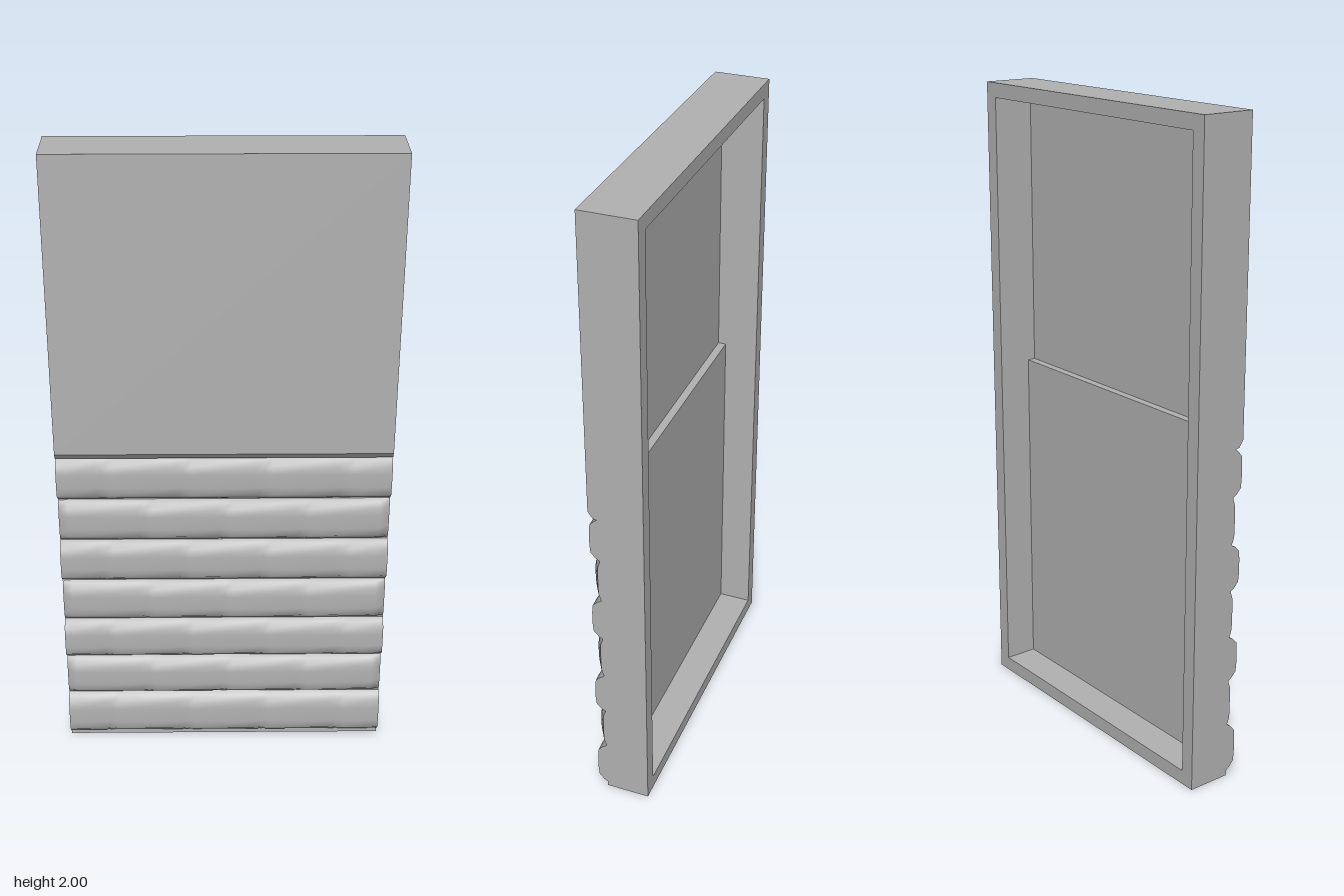
import * as THREE from 'three';

const W = 0.51, BACK = -0.085, SEAT = 0.045, FRONT = 0.084, WALL = 0.045;
const stone = new THREE.MeshStandardMaterial({ color: 0xb2b2b2 });
stone.name = 'stoneGrey';

function add(group, name, geometry) {
  const mesh = new THREE.Mesh(geometry, stone);
  mesh.name = name;
  group.add(mesh);
  return mesh;
}

// Rectangular rim, open in the middle
function rimGeometry() {
  const shape = new THREE.Shape([[-W, 0], [W, 0], [W, 2], [-W, 2]].map(p => new THREE.Vector2(...p)));
  const x = W - WALL;
  shape.holes.push(new THREE.Path([[-x, WALL], [-x, 2 - WALL], [x, 2 - WALL], [x, WALL]].map(p => new THREE.Vector2(...p))));
  const g = new THREE.ExtrudeGeometry(shape, { depth: SEAT - BACK, bevelEnabled: false });
  return g.translate(0, 0, BACK);
}

// Front skin: side profile in (z, y), swept across the width
function skinGeometry() {
  const profile = [[SEAT, 0], [0.052, 0], [0.052, 1.05], [0.07, 1.055], [FRONT, 1.075], [FRONT, 2], [SEAT, 2]];
  const shape = new THREE.Shape(profile.map(([z, y]) => new THREE.Vector2(-z, y)));
  const g = new THREE.ExtrudeGeometry(shape, { depth: 2 * W, bevelEnabled: false });
  return g.rotateY(Math.PI / 2).translate(-W, 0, 0);
}

// One course of rounded blocks, lofted along x with shallow dips at the joints
function courseGeometry(y0, y1, joints, endsTaper) {
  const base = 0.05, top = FRONT;
  const profile = [[0, 0], [0.06, 0.45], [0.17, 0.92], [0.35, 1], [0.65, 1], [0.83, 0.92], [0.94, 0.45], [1, 0]];
  const stations = [[-W, endsTaper ? 0.3 : 0.95], [-W + 0.03, endsTaper ? 0.88 : 1]];
  for (const x of joints) stations.push([x - 0.025, 1], [x, 0.91], [x + 0.025, 1]);
  stations.push([W - 0.03, stations[1][1]], [W, stations[0][1]]);

  const pos = [], idx = [], n = profile.length;
  const ring = ([x, h]) => profile.forEach(([t, d]) =>
    pos.push(x, y0 + (y1 - y0) * t, base + (top - base) * d * h));
  stations.forEach(ring);
  for (let i = 0; i < stations.length - 1; i++) {
    for (let j = 0; j < n - 1; j++) {
      const a = i * n + j, b = a + n;
      idx.push(a, b, b + 1, a, b + 1, a + 1);
    }
  }
  // End caps
  for (const right of [false, true]) {
    const s = pos.length / 3;
    ring(right ? stations[stations.length - 1] : stations[0]);
    for (let j = 1; j < n - 1; j++) idx.push(s, right ? s + j + 1 : s + j, right ? s + j : s + j + 1);
  }
  const g = new THREE.BufferGeometry();
  g.setAttribute('position', new THREE.Float32BufferAttribute(pos, 3));
  g.setIndex(idx);
  g.computeVertexNormals();
  return g;
}

export function createModel() {
  const model = new THREE.Group();
  model.name = 'wallPanel';
  add(model, 'rim', rimGeometry());
  add(model, 'frontSkin', skinGeometry());

  // Thicker backing behind the block courses
  const backing = add(model, 'lowerBacking', new THREE.BoxGeometry(2 * (W - WALL), 1.1 - WALL, 0.025));
  backing.position.set(0, (1.1 + WALL) / 2, SEAT - 0.0125);

  // Seven courses in running bond
  const edges = [0.015, 0.175, 0.32, 0.465, 0.612, 0.76, 0.905, 1.055];
  for (let i = 0; i < 7; i++) {
    const offset = i % 2 === 1;
    const joints = offset ? [-0.245, 0, 0.245] : [-0.37, -0.123, 0.123, 0.37];
    add(model, 'blockCourse' + (i + 1), courseGeometry(edges[i], edges[i + 1], joints, offset));
  }
  return model;
}
